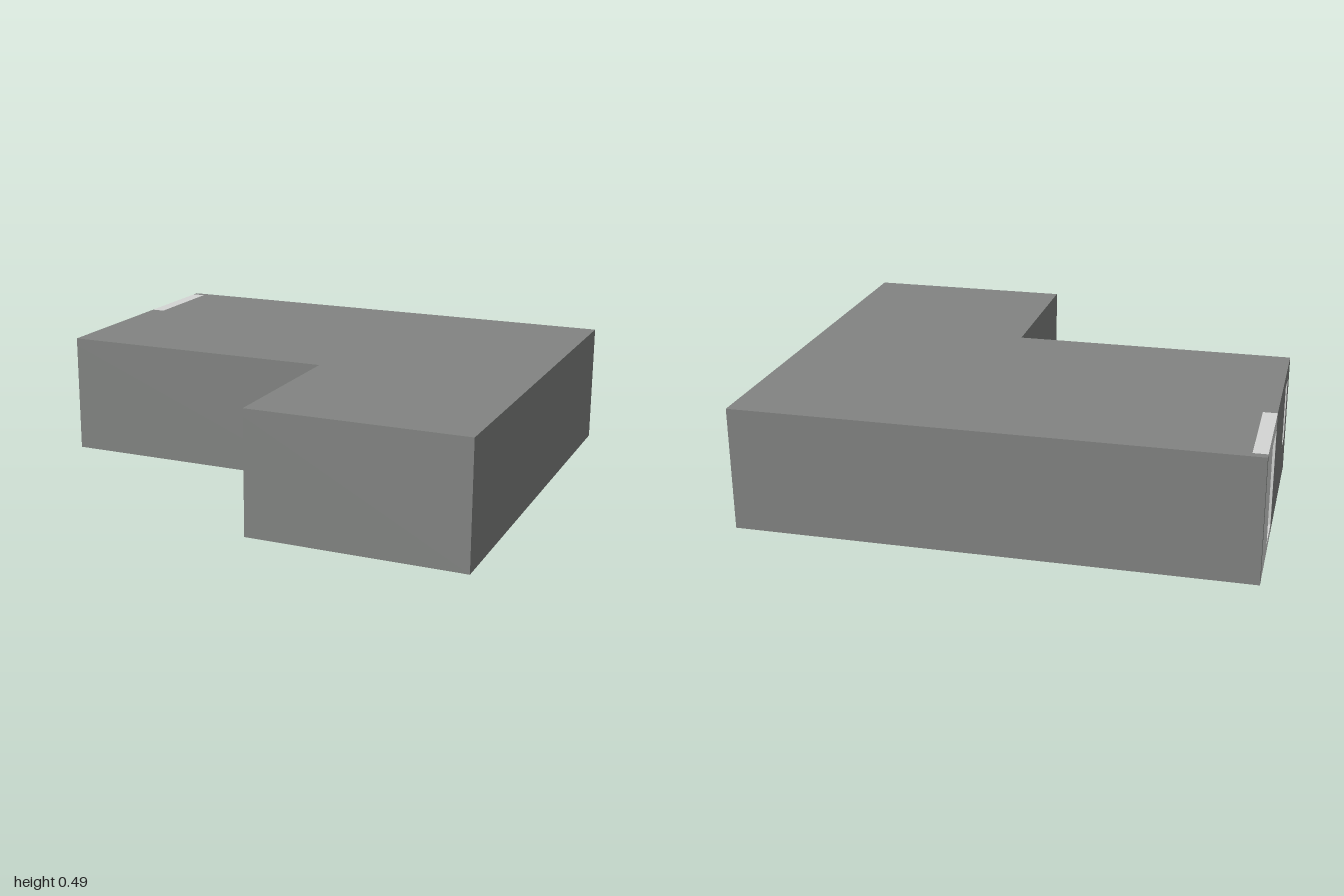
import * as THREE from 'three';

const H = 0.49, T = 0.03;             // total height, wall and roof thickness
const X0 = -1, X1 = 1, Z0 = -0.88, Z1 = 0.88;
const XI = 0.14, ZI = 0.2;            // inner corner of the L plan
const PANEL = { z0: Z0 + T, z1: -0.45, depth: 0.055 };

const concrete = new THREE.MeshStandardMaterial({ color: 0x828482 });
concrete.name = 'grey concrete';
const pale = new THREE.MeshStandardMaterial({ color: 0xd4d6d4 });
pale.name = 'pale trim';

const toShape = (pts) => new THREE.Shape(pts.map(([a, b]) => new THREE.Vector2(a, b)));
const rect = (a0, b0, a1, b1) => [[a0, b0], [a1, b0], [a1, b1], [a0, b1]];

// Plan outline of [x, z] points, raised from y0 by height
function planGeometry(pts, y0, height) {
  const shape = toShape(pts.map(([x, z]) => [x, -z]));
  return new THREE.ExtrudeGeometry(shape, { depth: height, bevelEnabled: false })
    .rotateX(-Math.PI / 2).translate(0, y0, 0);
}

// Upright slab on the right side: [z, y] outline with a hole, outer face at x
function sideGeometry(outline, hole, depth, x = X0) {
  const shape = toShape(outline);
  shape.holes.push(new THREE.Path(toShape(hole).getPoints()));
  return new THREE.ExtrudeGeometry(shape, { depth, bevelEnabled: false })
    .rotateY(-Math.PI / 2).translate(x + depth, 0, 0);
}

export function createModel() {
  const group = new THREE.Group();
  const add = (name, geometry, material) => {
    const mesh = new THREE.Mesh(geometry, material);
    mesh.name = name;
    group.add(mesh);
  };

  // Outer walls around the L, open on the right side
  add('outerWalls', planGeometry([
    [X0, Z0], [X1, Z0], [X1, Z1], [XI, Z1], [XI, ZI], [X0, ZI],
    [X0, ZI - T], [XI + T, ZI - T], [XI + T, Z1 - T], [X1 - T, Z1 - T],
    [X1 - T, Z0 + T], [X0, Z0 + T],
  ], 0, H - T), concrete);

  // Roof slab, notched around the entrance panel
  add('roof', planGeometry([
    [X0, Z0], [X1, Z0], [X1, Z1], [XI, Z1], [XI, ZI], [X0, ZI],
    [X0, PANEL.z1], [X0 + PANEL.depth, PANEL.z1],
    [X0 + PANEL.depth, PANEL.z0], [X0, PANEL.z0],
  ], H - T, T), concrete);

  // Right side wall with its window
  add('windowWall', sideGeometry(
    rect(PANEL.z1, 0, ZI - T, H - T), rect(0, 0.17, 0.115, 0.43), T), concrete);
  add('windowFrame', sideGeometry(
    rect(0, 0.17, 0.115, 0.43), rect(0.005, 0.175, 0.11, 0.425), T + 0.005), pale);

  // Pale entrance panel with a tall opening
  add('entrancePanel', sideGeometry(
    rect(PANEL.z0, 0, PANEL.z1, H), rect(-0.63, 0.04, -0.46, 0.43), PANEL.depth), pale);

  // Inner partition
  add('partition', planGeometry(
    rect(X0 + T, -0.05, -0.19, -0.03), 0.005, H - T - 0.005), concrete);

  return group;
}
